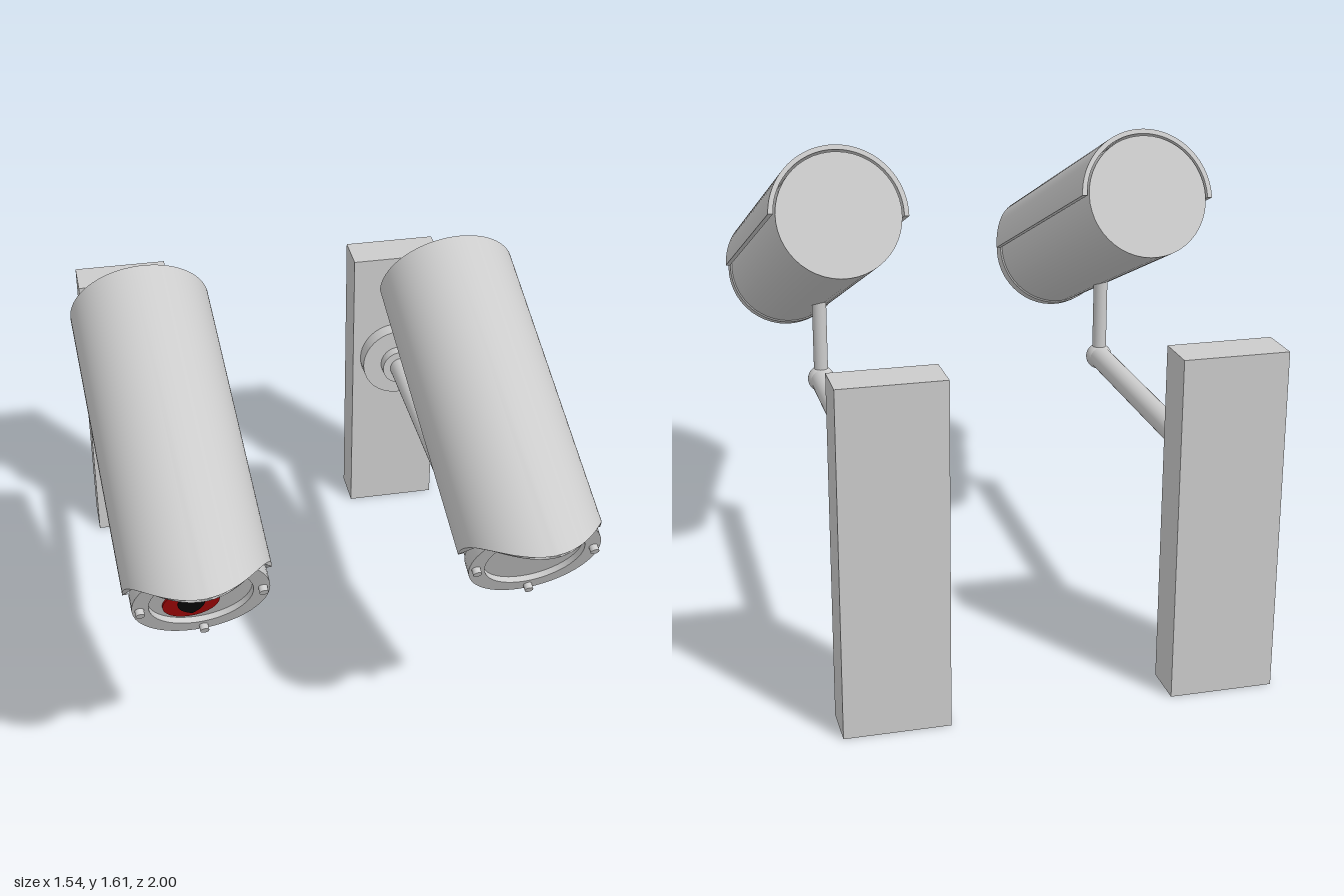
import * as THREE from 'three';
import { toCreasedNormals } from 'three/addons/utils/BufferGeometryUtils.js';

const grey = new THREE.MeshStandardMaterial({ color: 0xcccccc });
const red = new THREE.MeshStandardMaterial({ color: 0xb00808 });
const black = new THREE.MeshStandardMaterial({ color: 0x0a0a0a });

function add(parent, name, geometry, x = 0, y = 0, z = 0, material = grey) {
  const mesh = new THREE.Mesh(geometry, material);
  mesh.name = name;
  mesh.position.set(x, y, z);
  parent.add(mesh);
  return mesh;
}

// Cylinder lying along z
const rod = (radius, length, sides = 32) =>
  new THREE.CylinderGeometry(radius, radius, length, sides).rotateX(Math.PI / 2);

// Round body, front bezel and recessed glass in one profile
function housingGeometry() {
  const profile = [
    [0, 0], [0.206, 0], [0.206, 1.025], [0.211, 1.03],
    [0.211, 1.08], [0.16, 1.08], [0.16, 1.06], [0, 1.06],
  ].map(([r, h]) => new THREE.Vector2(r, h));
  const geometry = new THREE.LatheGeometry(profile, 48).rotateX(Math.PI / 2);
  return toCreasedNormals(geometry, 0.5);
}

// Half-tube sun shield whose front edge sweeps forward to a peak at the top
function visorGeometry() {
  const shape = new THREE.Shape();
  shape.absarc(0, 0, 0.229, 0, Math.PI, false);
  shape.absarc(0, 0, 0.213, Math.PI, 0, true);
  const geometry = new THREE.ExtrudeGeometry(shape, {
    depth: 1.02, bevelEnabled: false, curveSegments: 24,
  });
  const p = geometry.attributes.position;
  for (let i = 0; i < p.count; i++) {
    if (p.getZ(i) < 0.5) continue;
    const x = p.getX(i), y = p.getY(i);
    p.setZ(i, 1.02 + 0.173 * y * y / (x * x + y * y));
  }
  return toCreasedNormals(geometry, 0.5);
}

// Upright almond shape for the pupil
function pupilGeometry() {
  const shape = new THREE.Shape();
  shape.moveTo(0, -0.066);
  shape.bezierCurveTo(0.056, -0.03, 0.056, 0.03, 0, 0.066);
  shape.bezierCurveTo(-0.056, 0.03, -0.056, -0.03, 0, -0.066);
  return new THREE.ExtrudeGeometry(shape, { depth: 0.003, bevelEnabled: false });
}

function createHead(withEye) {
  const head = new THREE.Group();
  head.name = 'cameraHead';
  add(head, 'housing', housingGeometry());
  add(head, 'visor', visorGeometry());
  // Four screws around the bezel
  for (let i = 0; i < 4; i++) {
    const a = i * Math.PI / 2;
    add(head, 'bezelScrew', rod(0.014, 0.03, 16), 0.188 * Math.cos(a), 0.188 * Math.sin(a), 1.085);
  }
  if (withEye) {
    add(head, 'iris', rod(0.088, 0.008, 40), -0.03, -0.046, 1.062, red);
    add(head, 'pupil', pupilGeometry(), -0.03, -0.046, 1.066, black);
  }
  // Aimed downward, with a slight turn and roll
  head.rotation.set(0.422, 0.05, 0.085, 'YXZ');
  head.position.set(0, 1.4, -0.179);
  return head;
}

function createCamera(withEye) {
  const camera = new THREE.Group();
  // Wall post, stepped flange and bracket
  add(camera, 'wallPost', new THREE.BoxGeometry(0.332, 1.11, 0.146), 0, 0.555, -0.927);
  add(camera, 'flange', rod(0.137, 0.06, 40), 0, 0.685, -0.825);
  add(camera, 'collar', rod(0.068, 0.04), 0, 0.685, -0.775);
  add(camera, 'arm', rod(0.04, 1.07), 0, 0.685, -0.235);
  add(camera, 'elbowBall', new THREE.SphereGeometry(0.047, 32, 20), 0, 0.685, 0.3);
  add(camera, 'stem', new THREE.CylinderGeometry(0.025, 0.025, 0.36, 24), 0, 0.865, 0.3);
  camera.add(createHead(withEye));
  return camera;
}

export function createModel() {
  const model = new THREE.Group();
  model.name = 'securityCameras';
  const right = createCamera(true);
  right.name = 'rightCamera';
  right.position.x = -0.54;
  const left = createCamera(false);
  left.name = 'leftCamera';
  left.position.x = 0.497;
  model.add(right, left);
  return model;
}
